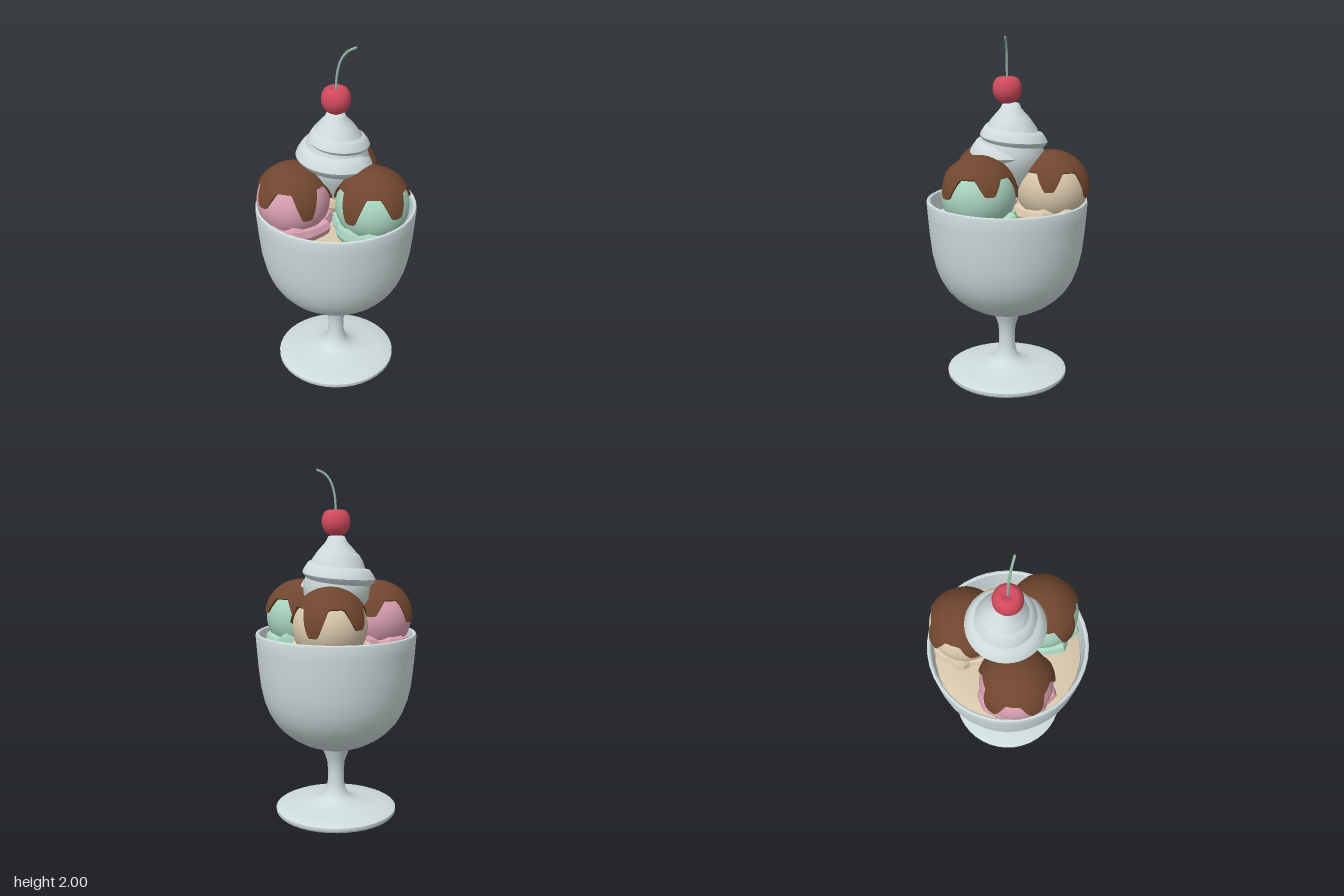
import * as THREE from 'three';
import { toCreasedNormals } from 'three/addons/utils/BufferGeometryUtils.js';

const mat = (name, color) => Object.assign(new THREE.MeshStandardMaterial({ color }), { name });
const TAU = Math.PI * 2;

// Sharp edges kept; scaled up while creasing so tiny details are not merged
function crease(geo, angle = 0.7) {
  geo.scale(100, 100, 100);
  const out = toCreasedNormals(geo, angle);
  return out.scale(0.01, 0.01, 0.01);
}

// Surface from rows (u) and columns (v), each point given by f(u, v)
function grid(nu, nv, f) {
  const pos = [], idx = [];
  for (let i = 0; i <= nu; i++)
    for (let j = 0; j <= nv; j++) pos.push(...f(i / nu, j / nv));
  for (let i = 0; i < nu; i++)
    for (let j = 0; j < nv; j++) {
      const a = i * (nv + 1) + j, b = a + nv + 1;
      idx.push(a, a + 1, b, a + 1, b + 1, b);
    }
  const g = new THREE.BufferGeometry();
  g.setAttribute('position', new THREE.Float32BufferAttribute(pos, 3));
  g.setIndex(idx);
  return g;
}

const lathe = (pts, seg) => new THREE.LatheGeometry(pts.map(p => new THREE.Vector2(...p)), seg);

export function createModel() {
  const glass = mat('glass', 0xcfdcdc);
  const cream = mat('whipped cream', 0xcedada);
  const pink = mat('strawberry', 0xd99fb0);
  const mint = mat('mint', 0xaad6c0);
  const vanilla = mat('vanilla', 0xd9c8ac);
  const sauce = mat('chocolate', 0x70462f);
  const red = mat('cherry red', 0xd14a5d);
  const green = mat('stem green', 0x93b5a6);

  const model = new THREE.Group();
  const add = (name, geo, material, parent = model) => {
    const m = new THREE.Mesh(geo, material);
    m.name = name;
    parent.add(m);
    return m;
  };

  // Footed glass: foot, stem, bowl, rounded lip and inner wall
  add('glass', crease(lathe([
    [0, 0], [0.345, 0], [0.355, 0.012], [0.355, 0.03], [0.33, 0.042], [0.25, 0.052], [0.15, 0.068],
    [0.09, 0.09], [0.06, 0.125], [0.049, 0.18], [0.047, 0.25], [0.052, 0.31], [0.068, 0.355], [0.083, 0.395],
    [0.14, 0.41], [0.2, 0.435], [0.26, 0.47], [0.31, 0.51], [0.355, 0.56], [0.39, 0.62], [0.416, 0.69],
    [0.436, 0.78], [0.449, 0.9], [0.457, 1.0], [0.462, 1.07], [0.459, 1.082], [0.45, 1.086],
    [0.44, 1.08], [0.437, 1.06], [0.43, 0.97], [0.42, 0.86], [0, 0.86],
  ], 40)), glass);

  // Melted ice cream filling the bowl
  add('filling', lathe([[0.426, 0.94], [0.42, 0.965], [0.3, 0.975], [0, 0.98]], 24), vanilla);

  // Three scoops, each with a ragged skirt and a dripping sauce cap
  const R = 0.205, CY = 1.155, RING = 0.256;
  const drips = [32, 42, 28, 37, 25];
  [['mint', mint, 12, 28], ['strawberry', pink, 132, 40], ['vanilla', vanilla, 252, -18]].forEach(
    ([name, material, dir, dripStart], k) => {
      const a0 = THREE.MathUtils.degToRad(dir);
      const cx = RING * Math.cos(a0), cz = RING * Math.sin(a0);
      const scoop = new THREE.Group();
      scoop.name = name + 'Scoop';
      scoop.position.set(cx, CY, cz);
      model.add(scoop);
      add('ball', new THREE.SphereGeometry(R, 32, 20), material, scoop);

      // Skirt, held inside the glass wall
      add('skirt', crease(grid(8, 40, (u, v) => {
        const b = -u * TAU, a = v * TAU;
        const wob = 0.012 * Math.sin(7 * a + k) + 0.009 * Math.sin(11 * a + 2 * k);
        const r = 0.17 + wob + 0.045 * Math.cos(b);
        let x = cx + r * Math.cos(a), z = cz + r * Math.sin(a);
        const s = Math.min(1, 0.425 / Math.hypot(x, z));
        return [x * s - cx, -0.14 + wob * 0.6 + 0.05 * Math.sin(b), z * s - cz];
      }), 0.5), material, scoop);

      // Sauce cap: its lower edge falls in five drips
      const edge = phi => {
        const t = (((phi - dripStart) / 72) % 5 + 5) % 5;
        const n = Math.round(t), d = Math.abs(t - n) * 2;
        const w = THREE.MathUtils.clamp((0.64 - d) / 0.44, 0, 1);
        return THREE.MathUtils.degToRad(57 + w * drips[(n + k) % 5]);
      };
      add('sauce', crease(grid(12, 90, (u, v) => {
        const phi = v * 360, a = v * TAU;
        const th = Math.min(1, u * 12 / 11) * edge(phi);
        const r = u > 0.95 ? 0.2 : 0.217;
        return [r * Math.sin(th) * Math.cos(a), r * Math.cos(th), r * Math.sin(th) * Math.sin(a)];
      })), sauce, scoop);
    });

  // Whipped cream: a tapering spiral ridge around a cone
  const whip = new THREE.Group();
  whip.name = 'whippedCream';
  whip.position.set(-0.012, 0, -0.018);
  model.add(whip);
  add('core', lathe([[0.13, 1.18], [0.185, 1.28], [0.19, 1.36], [0.172, 1.42], [0.148, 1.49], [0.105, 1.55],
    [0.06, 1.6], [0.045, 1.63], [0, 1.64]], 32), cream, whip);
  const TURNS = 2.75;
  add('swirl', crease(grid(10, 110, (u, v) => {
    const turn = v * TURNS, a = turn * TAU - 0.7, b = -u * TAU;
    const outer = 0.01 + 0.228 * (1 - Math.pow(turn / 2.9, 1.8));
    const size = Math.min(1, turn / 0.15) * Math.min(1, (TURNS - turn) / 0.3) * (1 - 0.45 * v);
    const c = Math.cos(b), s = Math.sin(b);
    const r = Math.max(0, outer - 0.055 + 0.055 * size * c);
    const y = 1.345 + 0.265 * v + 0.06 * size * s * Math.abs(s) - 0.012 * size * c;
    return [r * Math.cos(a), y, r * Math.sin(a)];
  }), 0.8), cream, whip);

  // Cherry with a dimpled top
  const cherry = lathe([[0, 1.625], [0.025, 1.628], [0.05, 1.641], [0.069, 1.662], [0.08, 1.69], [0.081, 1.715],
    [0.076, 1.742], [0.064, 1.764], [0.048, 1.775], [0.03, 1.773], [0.012, 1.764], [0, 1.758]], 32);
  add('cherry', cherry, red);

  // Curved stalk with a closed tip
  const path = new THREE.CatmullRomCurve3([[0, 1.755, 0], [0.006, 1.85, -0.002], [0.025, 1.925, -0.009],
    [0.058, 1.972, -0.02], [0.098, 1.994, -0.035]].map(p => new THREE.Vector3(...p)));
  add('stalk', new THREE.TubeGeometry(path, 24, 0.007, 8), green);
  add('stalkTip', new THREE.SphereGeometry(0.007, 8, 6), green).position.set(0.098, 1.993, -0.035);

  return model;
}
